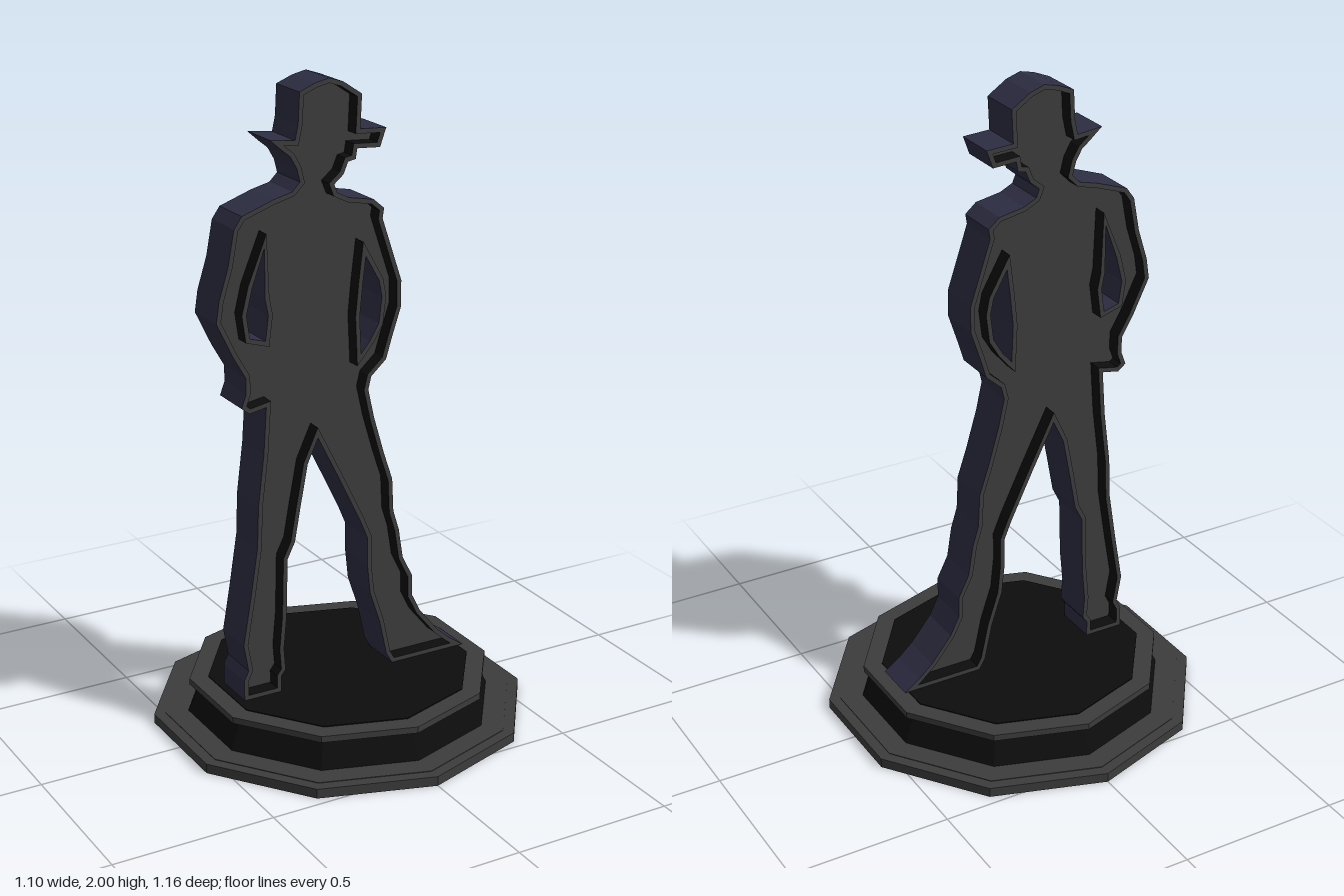
import * as THREE from 'three';

const make = (name, color) => new THREE.MeshStandardMaterial({ name, color, flatShading: true, side: THREE.DoubleSide });

// Silhouette, clockwise as seen from the front
const head = [
  [-0.17, 1.97], [-0.12, 1.99], [-0.075, 2], [-0.03, 1.985], [0.03, 1.945], [0.025, 1.845], [0.11, 1.84],
  [0.09, 1.785], [0.015, 1.79], [0.01, 1.76], [-0.015, 1.755], [-0.03, 1.72], [-0.06, 1.695], [-0.05, 1.67],
];
const leftArm = [
  [-0.01, 1.65], [0.07, 1.635], [0.105, 1.605], [0.1, 1.575], [0.125, 1.5], [0.165, 1.38], [0.165, 1.3],
  [0.135, 1.21], [0.115, 1.145], [0.065, 1.1], [0.055, 1.06],
];
const leftLeg = [
  [0.075, 0.97], [0.11, 0.85], [0.14, 0.76], [0.145, 0.655], [0.165, 0.59], [0.18, 0.495], [0.215, 0.425],
  [0.215, 0.36], [0.245, 0.3], [0.31, 0.22], [0.355, 0.18], [0.405, 0.145], [0.145, 0.145], [0.125, 0.18],
  [0.1, 0.295], [0.065, 0.4], [0.055, 0.495], [0.055, 0.585], [0.03, 0.645], [-0.045, 0.8], [-0.115, 0.94],
];
const rightLeg = [
  [-0.15, 0.865], [-0.175, 0.735], [-0.195, 0.625], [-0.22, 0.575], [-0.225, 0.39], [-0.235, 0.285],
  [-0.23, 0.215], [-0.245, 0.195], [-0.245, 0.145], [-0.37, 0.145], [-0.37, 0.21], [-0.355, 0.24],
  [-0.37, 0.325], [-0.345, 0.47], [-0.32, 0.63], [-0.315, 0.76], [-0.295, 0.92], [-0.285, 1.065],
];
const rightArm = [
  [-0.34, 1.055], [-0.365, 1.075], [-0.35, 1.115], [-0.35, 1.165], [-0.39, 1.235], [-0.44, 1.34],
  [-0.43, 1.405], [-0.4, 1.5], [-0.38, 1.605], [-0.355, 1.64], [-0.255, 1.675], [-0.195, 1.69],
  [-0.17, 1.715], [-0.18, 1.755], [-0.2, 1.79], [-0.225, 1.81], [-0.265, 1.845], [-0.185, 1.835], [-0.175, 1.88],
];
// Gaps between arms and torso, counter-clockwise
const rightGap = [[-0.285, 1.54], [-0.325, 1.43], [-0.345, 1.35], [-0.335, 1.28], [-0.285, 1.265], [-0.275, 1.34], [-0.285, 1.39]];
const leftGap = [[0.045, 1.47], [0.035, 1.39], [0.025, 1.29], [0.03, 1.175], [0.06, 1.21], [0.09, 1.26], [0.1, 1.34], [0.09, 1.39]];

const toPoints = (list) => list.map(([x, y]) => new THREE.Vector2(x, y));

// Moves a loop into the solid (to the right of its direction) by d
function inset(loop, d) {
  const n = loop.length;
  const normal = (a, b) => new THREE.Vector2(b.y - a.y, a.x - b.x).normalize();
  return loop.map((p, i) => {
    const n1 = normal(loop[(i + n - 1) % n], p);
    const n2 = normal(p, loop[(i + 1) % n]);
    const miter = n1.clone().add(n2).divideScalar(Math.max(0.12, 1 + n1.dot(n2)));
    return miter.clampLength(0, 4).multiplyScalar(d).add(p);
  });
}

// Flat sheet bounded by an outer loop, with holes
function sheet(outer, holes) {
  const shape = new THREE.Shape(outer);
  shape.holes = holes.map((h) => new THREE.Path(h));
  return new THREE.ShapeGeometry(shape);
}

// Ribbon along a loop from z0 to z1, facing left of the loop's direction
function ribbon(loop, z0, z1) {
  const pos = [];
  loop.forEach((a, i) => {
    const b = loop[(i + 1) % loop.length];
    pos.push(a.x, a.y, z0, b.x, b.y, z1, b.x, b.y, z0);
    pos.push(a.x, a.y, z0, a.x, a.y, z1, b.x, b.y, z1);
  });
  const g = new THREE.BufferGeometry();
  g.setAttribute('position', new THREE.Float32BufferAttribute(pos, 3));
  g.computeVertexNormals();
  return g;
}

export function createModel() {
  const grey = make('charcoal grey', 0x3c3c3c);
  const purple = make('dark slate purple', 0x2e2e44);
  const black = make('black', 0x0d0d0d);

  const model = new THREE.Group();
  const add = (parent, name, geometry, material, y = 0, z = 0) => {
    const mesh = new THREE.Mesh(geometry, material);
    mesh.name = name;
    mesh.position.set(0, y, z);
    parent.add(mesh);
    return mesh;
  };

  // Ten-sided stepped base
  const base = new THREE.Group();
  base.name = 'base';
  model.add(base);
  const tier = (name, top, bottom, y0, y1, material) =>
    add(base, name, new THREE.CylinderGeometry(top, bottom, y1 - y0, 10), material, (y0 + y1) / 2);
  tier('baseSlab', 0.58, 0.58, 0, 0.03, [grey, grey, black]);
  tier('baseSlabStep', 0.545, 0.545, 0.029, 0.032, grey);
  tier('basePlinth', 0.435, 0.475, 0.03, 0.122, black);
  tier('baseRim', 0.468, 0.468, 0.12, 0.14, grey);
  tier('baseFloor', 0.41, 0.41, 0.139, 0.143, black);

  // Standing figure: purple edge, grey lip and a recessed grey panel on each side
  const figure = new THREE.Group();
  figure.name = 'figure';
  model.add(figure);
  const front = 0.078, back = -0.058, depth = 0.045, lip = 0.014;
  const outline = toPoints([...head, ...leftArm, ...leftLeg, ...rightLeg, ...rightArm]);
  const gaps = [rightGap, leftGap].map(toPoints);
  const loops = [outline, ...gaps];
  const inner = loops.map((l) => inset(l, lip));

  loops.forEach((l) => add(figure, 'figureEdge', ribbon(l, back, front), purple));

  for (const [side, face, panel] of [['front', front, front - depth], ['back', back, back + depth]]) {
    add(figure, side + 'Panel', sheet(inner[0], inner.slice(1)), grey, 0, panel);
    add(figure, side + 'Lip', sheet(outline, [inner[0]]), grey, 0, face);
    gaps.forEach((g, i) => add(figure, side + 'GapLip', sheet(inner[i + 1], [g]), grey, 0, face));
    inner.forEach((l) => add(figure, side + 'RecessWall', ribbon(l, panel, face), black));
  }
  return model;
}
